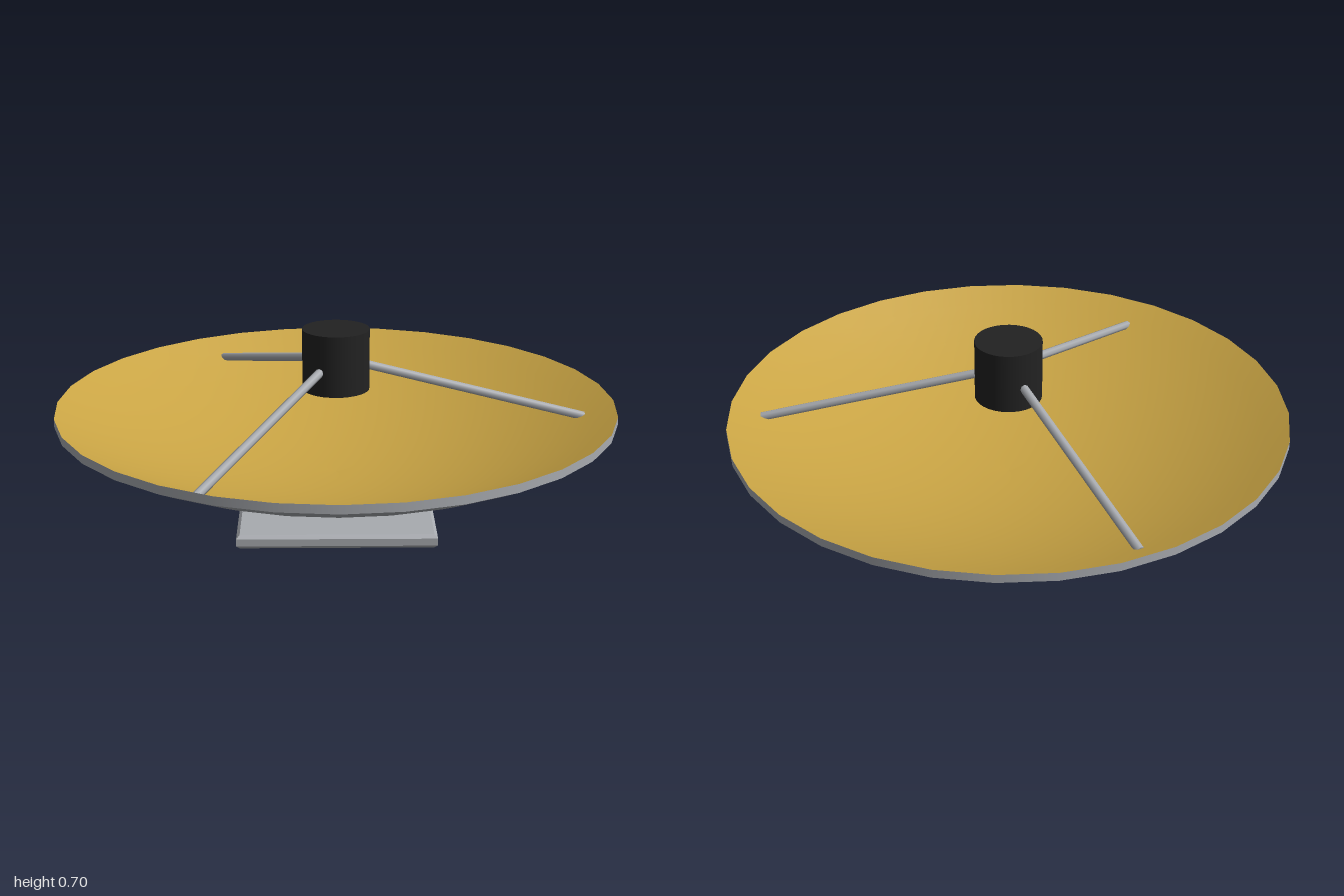
import * as THREE from 'three';

const gray = new THREE.MeshStandardMaterial({ color: 0xa8abb0 });
gray.name = 'light gray metal';
const gold = new THREE.MeshStandardMaterial({ color: 0xc9a444 });
gold.name = 'gold reflector';
const black = new THREE.MeshStandardMaterial({ color: 0x222222 });
black.name = 'black';

const SIDES = 32;

function add(group, name, geometry, material) {
  const mesh = new THREE.Mesh(geometry, material);
  mesh.name = name;
  group.add(mesh);
  return mesh;
}

// Points of a parabola from the centre out to radius 1
function parabola(yCentre, yRim, steps = 12) {
  const points = [];
  for (let i = 0; i <= steps; i++) {
    const r = i / steps;
    points.push(new THREE.Vector2(r, yCentre + (yRim - yCentre) * r * r));
  }
  return points;
}

// Upright cylinder between two heights
function drum(radius, y0, y1) {
  return new THREE.CylinderGeometry(radius, radius, y1 - y0, SIDES).translate(0, (y0 + y1) / 2, 0);
}

// Round rod between two points
function rod(from, to, radius) {
  const direction = to.clone().sub(from);
  const geometry = new THREE.CylinderGeometry(radius, radius, direction.length(), 8);
  geometry.applyQuaternion(new THREE.Quaternion().setFromUnitVectors(
    new THREE.Vector3(0, 1, 0), direction.normalize()));
  const middle = from.clone().add(to).multiplyScalar(0.5);
  return geometry.translate(middle.x, middle.y, middle.z);
}

export function createModel() {
  const model = new THREE.Group();
  model.name = 'dishAntenna';

  // Square mounting plate with chamfered edges
  const bevel = 0.012, half = 0.35 - bevel;
  const square = new THREE.Shape([
    new THREE.Vector2(-half, -half), new THREE.Vector2(half, -half),
    new THREE.Vector2(half, half), new THREE.Vector2(-half, half),
  ]);
  const plate = new THREE.ExtrudeGeometry(square, {
    depth: 0.05 - 2 * bevel, bevelEnabled: true, bevelSegments: 1,
    bevelSize: bevel, bevelThickness: bevel,
  });
  plate.rotateX(-Math.PI / 2).translate(0, bevel + 0.003, 0);
  add(model, 'mountingPlate', plate, gray);

  // Short pillar through the plate
  add(model, 'pillar', drum(0.14, 0, 0.155), black);

  // Dish: outer shell, upright rim band and inner reflector
  add(model, 'dishShell', new THREE.LatheGeometry(parabola(0.14, 0.4), SIDES), gray);
  add(model, 'dishRim', new THREE.LatheGeometry(
    [new THREE.Vector2(1, 0.4), new THREE.Vector2(1, 0.43)], SIDES), gray);
  add(model, 'reflector', new THREE.LatheGeometry(parabola(0.16, 0.43).reverse(), SIDES), gold);

  // Feed drum held by three struts
  add(model, 'feed', drum(0.12, 0.48, 0.7), black);
  for (let i = 0; i < 3; i++) {
    const strut = rod(new THREE.Vector3(0.08, 0.575, 0), new THREE.Vector3(0.895, 0.37, 0), 0.016);
    add(model, 'strut', strut, gray).rotation.y = (i * 2 * Math.PI) / 3;
  }

  return model;
}
